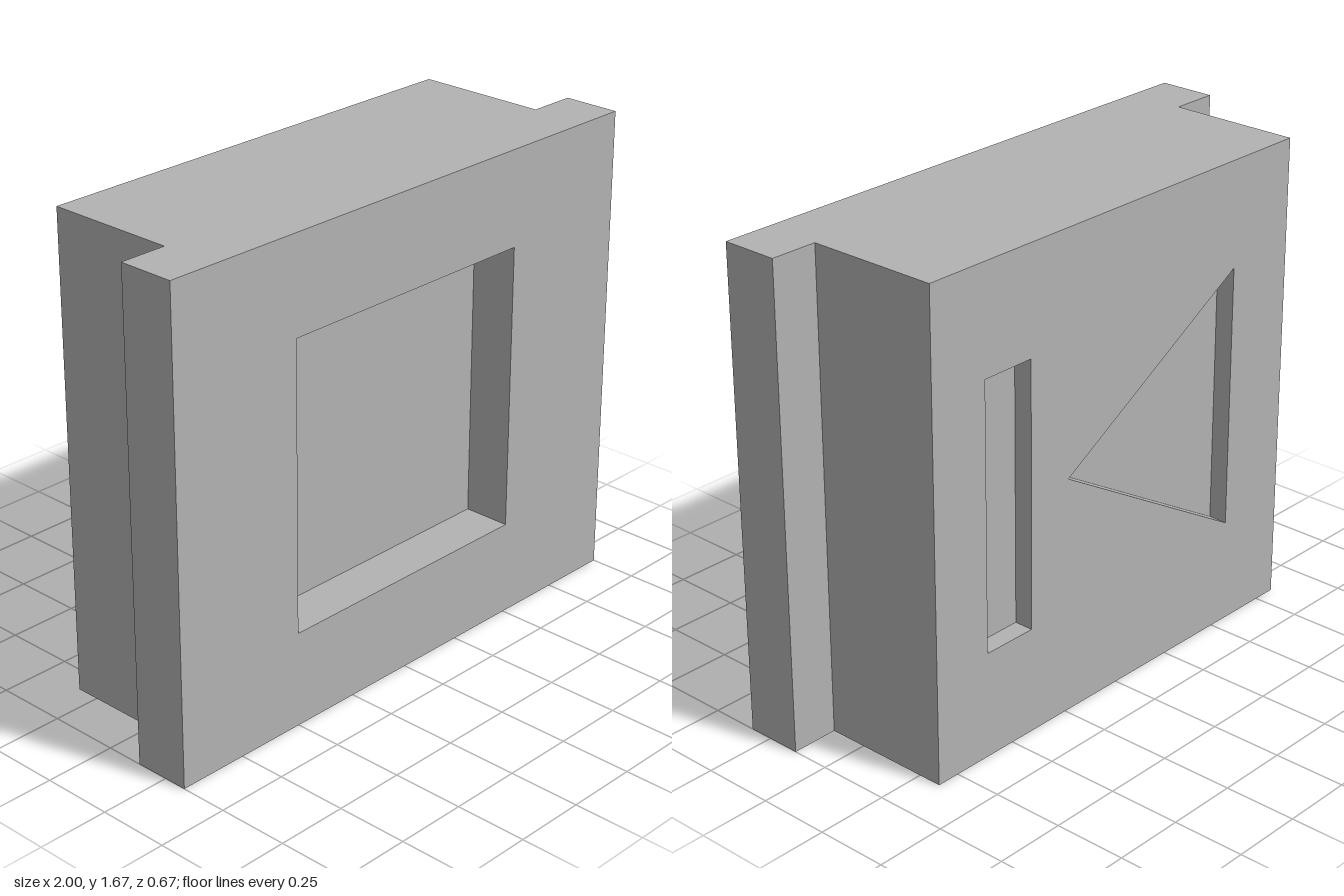
import * as THREE from 'three';

const H = 1.667;      // height
const F = 0.333;      // half depth
const STEP = 0.133;   // z where the side flanges begin
const WIDE = 1, NARROW = 0.833; // half widths of front and back

const grey = new THREE.MeshStandardMaterial({ color: 0xb2b2b2 });
grey.name = 'grey';

const v2 = (list) => list.map(([x, y]) => new THREE.Vector2(x, y));
const rect = (x0, x1, y0, y1) => [[x0, y0], [x1, y0], [x1, y1], [x0, y1]];

function addMesh(group, name, geometry) {
  const mesh = new THREE.Mesh(geometry, grey);
  mesh.name = name;
  group.add(mesh);
  return mesh;
}

// Flat-shaded strip made by sweeping a path of 3D points along a vector
function ribbon(path, sweep) {
  const pos = [];
  for (let i = 0; i + 1 < path.length; i++) {
    const a = path[i], b = path[i + 1];
    const c = b.clone().add(sweep), d = a.clone().add(sweep);
    for (const p of [a, b, c, a, c, d]) pos.push(p.x, p.y, p.z);
  }
  const g = new THREE.BufferGeometry();
  g.setAttribute('position', new THREE.Float32BufferAttribute(pos, 3));
  g.computeVertexNormals();
  return g;
}

// Face at z = F with sunken pockets; pocket outlines run anticlockwise
function pocketFace(name, halfWidth, depth, pockets) {
  const group = new THREE.Group();
  group.name = name;
  const face = new THREE.Shape(v2(rect(-halfWidth, halfWidth, 0, H)));
  for (const [pocketName, outline] of Object.entries(pockets)) {
    face.holes.push(new THREE.Path(v2(outline)));
    const loop = [...outline, outline[0]].map(([x, y]) => new THREE.Vector3(x, y, F));
    addMesh(group, pocketName + 'Walls', ribbon(loop, new THREE.Vector3(0, 0, -depth)));
    const floor = new THREE.ShapeGeometry(new THREE.Shape(v2(outline)));
    addMesh(group, pocketName + 'Floor', floor.translate(0, 0, F - depth));
  }
  addMesh(group, name + 'Plate', new THREE.ShapeGeometry(face).translate(0, 0, F));
  return group;
}

export function createModel() {
  const model = new THREE.Group();
  model.name = 'flangedBlock';

  // Stepped sides, x and z from front to back
  const right = [[WIDE, F], [WIDE, STEP], [NARROW, STEP], [NARROW, -F]];
  const left = right.map(([x, z]) => [-x, z]).reverse();
  const up = new THREE.Vector3(0, H, 0);
  const to3 = ([x, z]) => new THREE.Vector3(x, 0, z);
  addMesh(model, 'leftSide', ribbon(right.map(to3), up));
  addMesh(model, 'rightSide', ribbon(left.map(to3), up));

  // T-shaped top and bottom
  const tee = [...right, ...left];
  const top = new THREE.ShapeGeometry(new THREE.Shape(v2(tee.map(([x, z]) => [x, -z]))));
  addMesh(model, 'top', top.rotateX(-Math.PI / 2).translate(0, H, 0));
  const bottom = new THREE.ShapeGeometry(new THREE.Shape(v2(tee)));
  addMesh(model, 'bottom', bottom.rotateX(Math.PI / 2));

  // Front with one square pocket
  model.add(pocketFace('front', WIDE, 0.167, {
    squarePocket: rect(-0.5, 0.5, 0.333, 1.333),
  }));

  // Back with a shallow slot and triangle
  const back = pocketFace('back', NARROW, 0.067, {
    slot: rect(-0.61, -0.41, 0.371, 1.296),
    triangle: [[-0.24, H / 2], [0.56, 0.371], [0.56, 1.296]],
  });
  back.rotation.y = Math.PI;
  model.add(back);

  return model;
}
